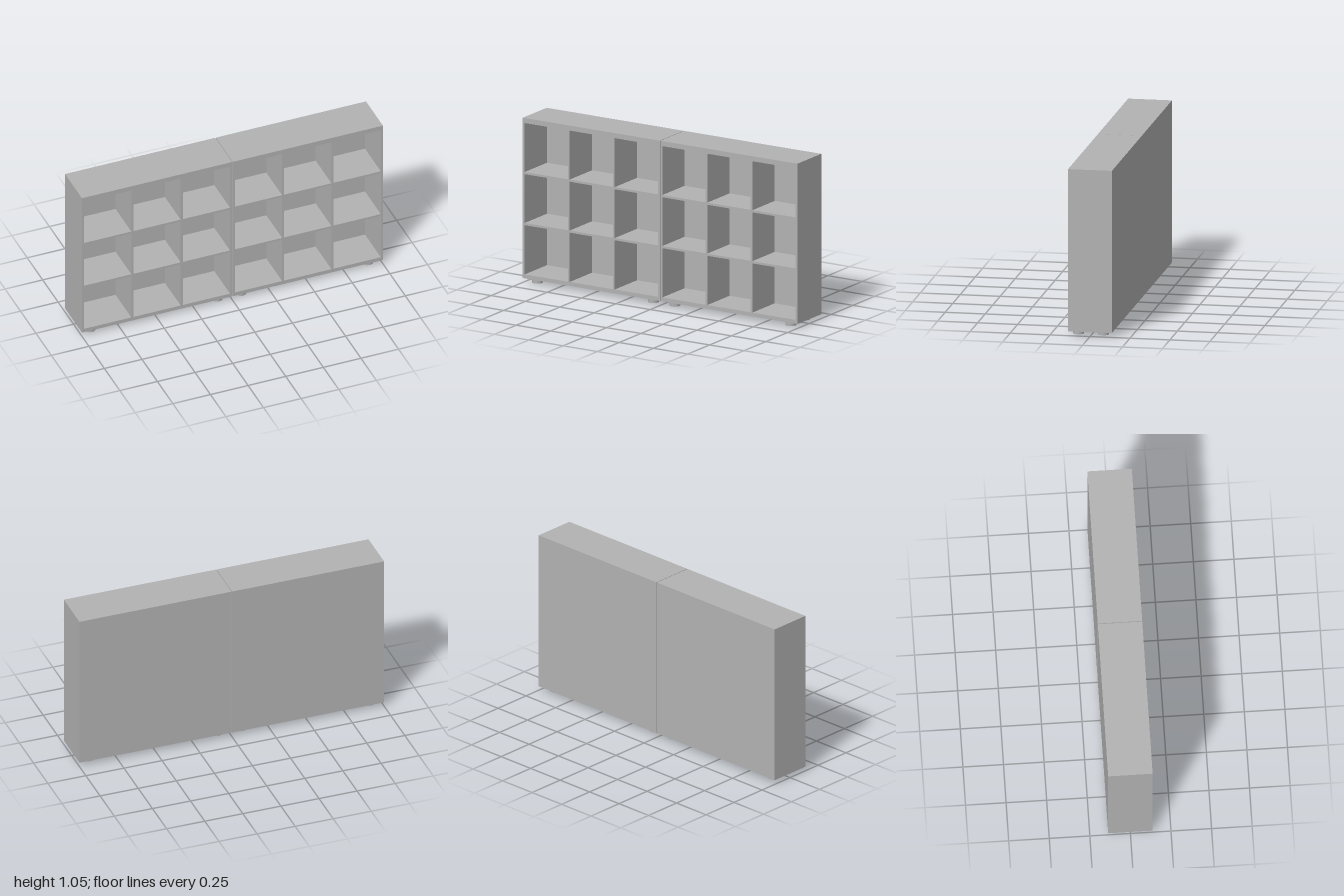
import * as THREE from 'three';

const DEPTH = 0.274, BACK = 0.018, BASE = 0.028, TOP = 1.05;

export function createModel() {
  const grey = new THREE.MeshStandardMaterial({ color: 0xb2b2b2 });
  grey.name = 'grey';
  const model = new THREE.Group();
  model.name = 'cubeShelf';

  const rows = [[0.053, 0.367], [0.381, 0.692], [0.706, 1.018]];

  function rect(path, x0, y0, x1, y1) {
    path.moveTo(x0, y0);
    path.lineTo(x1, y0);
    path.lineTo(x1, y1);
    path.lineTo(x0, y1);
    path.closePath();
    return path;
  }

  // One bookcase with three columns and three rows of open cells
  function bookcase(name, x0, x1, footXs) {
    const unit = new THREE.Group();
    unit.name = name;

    // Frame, dividers and shelves in one pierced slab
    const wall = 0.014;
    const cell = (x1 - x0 - wall * 4) / 3;
    const face = rect(new THREE.Shape(), x0, BASE, x1, TOP);
    for (let c = 0; c < 3; c++) {
      const left = x0 + wall + c * (cell + wall);
      for (const [y0, y1] of rows) {
        face.holes.push(rect(new THREE.Path(), left, y0, left + cell, y1));
      }
    }
    const frameGeo = new THREE.ExtrudeGeometry(face, { depth: DEPTH - BACK, bevelEnabled: false });
    frameGeo.translate(0, 0, -DEPTH / 2 + BACK);
    const frame = new THREE.Mesh(frameGeo, grey);
    frame.name = 'frame';
    unit.add(frame);

    // Closed back
    const back = new THREE.Mesh(new THREE.BoxGeometry(x1 - x0, TOP - BASE, BACK), grey);
    back.name = 'backPanel';
    back.position.set((x0 + x1) / 2, (TOP + BASE) / 2, -DEPTH / 2 + BACK / 2);
    unit.add(back);

    // Short round feet
    const footGeo = new THREE.CylinderGeometry(0.034, 0.034, BASE, 12);
    for (const x of footXs) {
      for (const z of [0.086, -0.069]) {
        const foot = new THREE.Mesh(footGeo, grey);
        foot.name = 'foot';
        foot.position.set(x, BASE / 2, z);
        unit.add(foot);
      }
    }
    return unit;
  }

  model.add(bookcase('rightBookcase', -1, -0.002, [-0.925, -0.081]));
  model.add(bookcase('leftBookcase', 0.002, 1, [0.076, 0.92]));
  return model;
}
